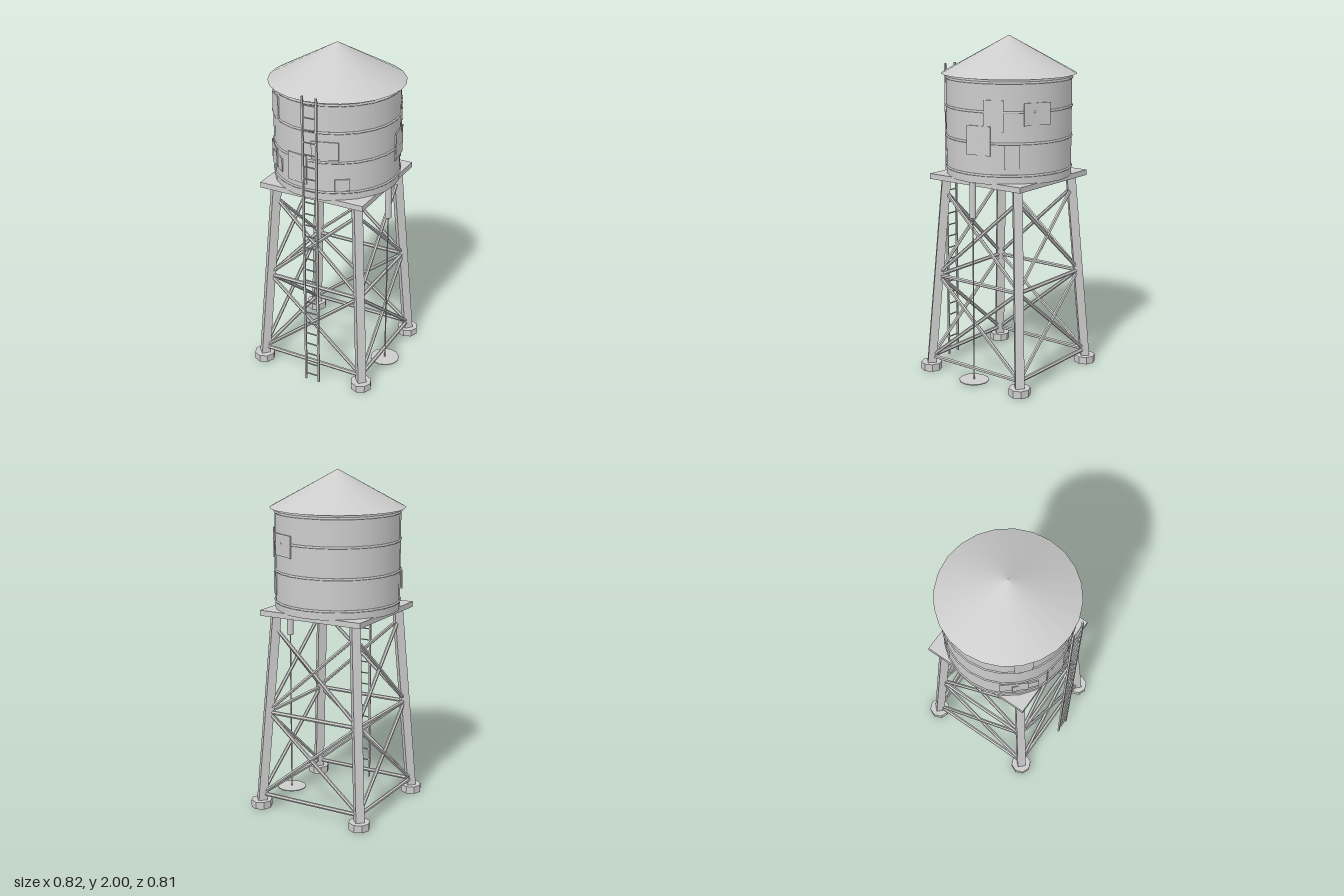
import * as THREE from 'three';

const grey = new THREE.MeshStandardMaterial({ color: 0xcccccc });
grey.name = 'grey';
const UP = new THREE.Vector3(0, 1, 0);

// Faceted copy of a geometry
function faceted(geometry) {
  const g = geometry.toNonIndexed();
  g.computeVertexNormals();
  return g;
}

function add(parent, name, geometry, x = 0, y = 0, z = 0) {
  const mesh = new THREE.Mesh(geometry, grey);
  mesh.name = name;
  mesh.position.set(x, y, z);
  parent.add(mesh);
  return mesh;
}

// Straight bar between two points
function strut(parent, name, a, b, radius, sides) {
  const dir = b.clone().sub(a);
  const g = faceted(new THREE.CylinderGeometry(radius, radius, dir.length(), sides));
  const mesh = add(parent, name, g);
  mesh.position.copy(a).add(b).multiplyScalar(0.5);
  mesh.quaternion.setFromUnitVectors(UP, dir.normalize());
  return mesh;
}

export function createModel() {
  const model = new THREE.Group();
  model.name = 'waterTower';

  // Everything but the ladder and spout is centred on the tank axis
  const tower = new THREE.Group();
  tower.name = 'tower';
  tower.position.set(-0.0125, 0, -0.0075);
  model.add(tower);

  // Tank, roof and hoops
  const R = 0.364;
  add(tower, 'tank', new THREE.CylinderGeometry(R, R, 0.585, 24), 0, 1.4925, 0);
  add(tower, 'roof', new THREE.ConeGeometry(0.392, 0.215, 24), 0, 1.8925, 0);
  for (const y of [1.25, 1.43, 1.605, 1.765]) {
    add(tower, 'hoop', new THREE.TorusGeometry(R, 0.007, 6, 24), 0, y, 0).rotation.x = Math.PI / 2;
  }

  // Flat patches: angle from the front in degrees, height, width, tallness
  const patches = [
    [-42, 1.675, 0.1, 0.13], [-9.5, 1.37, 0.127, 0.17], [17, 1.5, 0.154, 0.105],
    [-50, 1.365, 0.16, 0.11], [-40, 1.345, 0.15, 0.08], [32, 1.297, 0.083, 0.068],
    [100, 1.443, 0.148, 0.165], [114, 1.583, 0.115, 0.175], [130, 1.355, 0.085, 0.13],
    [153, 1.592, 0.16, 0.125],
  ];
  for (const [deg, y, w, h] of patches) {
    const a = THREE.MathUtils.degToRad(deg);
    const patch = add(tower, 'patch', new THREE.BoxGeometry(w, h, 0.007),
      Math.sin(a) * R, y, Math.cos(a) * R);
    patch.rotation.y = a;
  }

  // Platform
  add(tower, 'platform', new THREE.BoxGeometry(0.655, 0.032, 0.655), 0, 1.189, 0);

  // Point on the leg centreline of corner i at height y
  const corner = (i, y) => {
    const half = 0.335 - 0.0637 * y;
    const k = i % 4;
    return new THREE.Vector3(k === 0 || k === 3 ? half : -half, y, k < 2 ? half : -half);
  };

  // Four splayed legs with feet, and bracing on each side
  for (let i = 0; i < 4; i++) {
    strut(tower, 'leg', corner(i, 0.01), corner(i, 1.18), 0.036, 4);
    const foot = corner(i, 0.022);
    add(tower, 'foot', faceted(new THREE.CylinderGeometry(0.063, 0.063, 0.044, 8)),
      foot.x, foot.y, foot.z);
    for (const y of [0.08, 0.588]) {
      strut(tower, 'crossbar', corner(i, y), corner(i + 1, y), 0.012, 6);
    }
    for (const [low, high] of [[0.08, 0.588], [0.598, 1.1]]) {
      strut(tower, 'brace', corner(i, low), corner(i + 1, high), 0.011, 6);
      strut(tower, 'brace', corner(i, high), corner(i + 1, low), 0.011, 6);
    }
  }

  // Ladder
  const ladder = new THREE.Group();
  ladder.name = 'ladder';
  ladder.position.set(0.032, 0, 0.4);
  model.add(ladder);
  for (const side of [-1, 1]) {
    add(ladder, 'rail', new THREE.BoxGeometry(0.011, 1.82, 0.011), side * 0.0425, 0.91, 0);
  }
  for (let i = 0; i < 25; i++) {
    add(ladder, 'rung', new THREE.BoxGeometry(0.085, 0.006, 0.006), 0, 0.04 + i * 0.0722, 0);
  }

  // Spout, hanging cord and ground disc
  const spout = new THREE.Group();
  spout.name = 'spout';
  spout.position.set(0.32, 0, -0.0055);
  model.add(spout);
  add(spout, 'pipe', new THREE.CylinderGeometry(0.019, 0.019, 0.21, 12), 0, 1.095, 0);
  add(spout, 'cord', new THREE.CylinderGeometry(0.004, 0.004, 0.985, 6), 0, 0.5, 0);
  add(spout, 'disc', new THREE.CylinderGeometry(0.088, 0.088, 0.005, 12), 0, 0.009, 0);

  return model;
}
